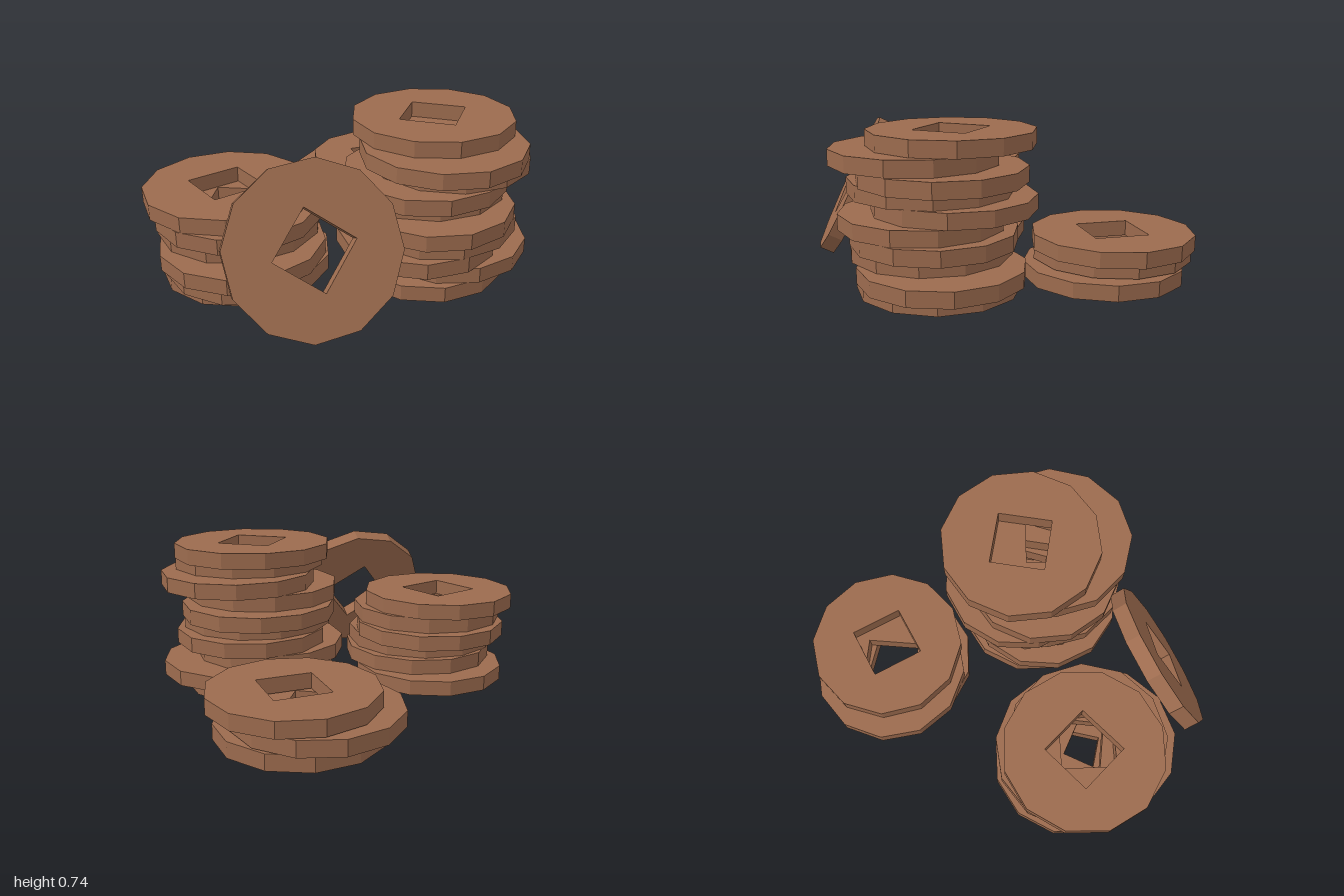
import * as THREE from 'three';

const RADIUS = 0.379, THICK = 0.073, HOLE = 0.128, SIDES = 12;

// Twelve-sided disc with a square hole, lying flat and centred on the origin
function coinGeometry() {
  const ring = (n, r, start) => Array.from({ length: n }, (_, i) => {
    const a = start + (i / n) * Math.PI * 2;
    return new THREE.Vector2(Math.cos(a) * r, Math.sin(a) * r);
  });
  const shape = new THREE.Shape(ring(SIDES, RADIUS, 0));
  shape.holes.push(new THREE.Path(ring(4, HOLE * Math.SQRT2, Math.PI / 4).reverse()));
  const geo = new THREE.ExtrudeGeometry(shape, { depth: THICK, bevelEnabled: false });
  geo.translate(0, 0, -THICK / 2);
  geo.rotateX(-Math.PI / 2);
  return geo;
}

// Each stack: base height, spacing, then [x, z, turn in degrees] from bottom to top
const STACKS = [
  { name: 'tallStack', base: 0, pitch: 0.0741, coins: [
    [0.373, 0.04, 0], [0.46, -0.03, 8], [0.345, 0.1, -6], [0.415, 0.035, 5], [0.415, 0.1, 12],
    [0.345, -0.025, -4], [0.37, 0.08, 3], [0.455, -0.03, -5], [0.46, 0.105, 14], [0.37, -0.03, 3.5]] },
  { name: 'mediumStack', base: 0.015, pitch: 0.0744, coins: [
    [-0.43, 0.4, 0], [-0.35, 0.48, 10], [-0.355, 0.52, -12], [-0.425, 0.41, 6],
    [-0.4, 0.46, 15], [-0.46, 0.45, -32]] },
  { name: 'lowStack', base: 0.015, pitch: 0.0785, coins: [
    [-0.1, -0.58, 0], [-0.18, -0.59, 8], [-0.085, -0.625, 41.5]] },
];

export function createModel() {
  const model = new THREE.Group();
  const geo = coinGeometry();
  const material = new THREE.MeshStandardMaterial({ color: 0x9c6b4e, flatShading: true });

  // Loosely piled stacks
  for (const { name, base, pitch, coins } of STACKS) {
    const stack = new THREE.Group();
    stack.name = name;
    coins.forEach(([x, z, turn], i) => {
      const coin = new THREE.Mesh(geo, material);
      coin.name = 'coin';
      coin.position.set(x, base + THICK / 2 + i * pitch, z);
      coin.rotation.y = THREE.MathUtils.degToRad(turn);
      stack.add(coin);
    });
    model.add(stack);
  }

  // Single coin leaning against the stacks
  const axis = new THREE.Vector3(0.525, 0.445, 0.725).normalize();
  const side = new THREE.Vector3(0.2, -0.134, -0.064);
  const across = new THREE.Vector3().crossVectors(side, axis).normalize();
  side.crossVectors(axis, across);
  const leaning = new THREE.Mesh(geo, material);
  leaning.name = 'leaningCoin';
  leaning.quaternion.setFromRotationMatrix(new THREE.Matrix4().makeBasis(side, axis, across));
  leaning.position.set(0.085, 0.36, 0.72);
  model.add(leaning);

  return model;
}
